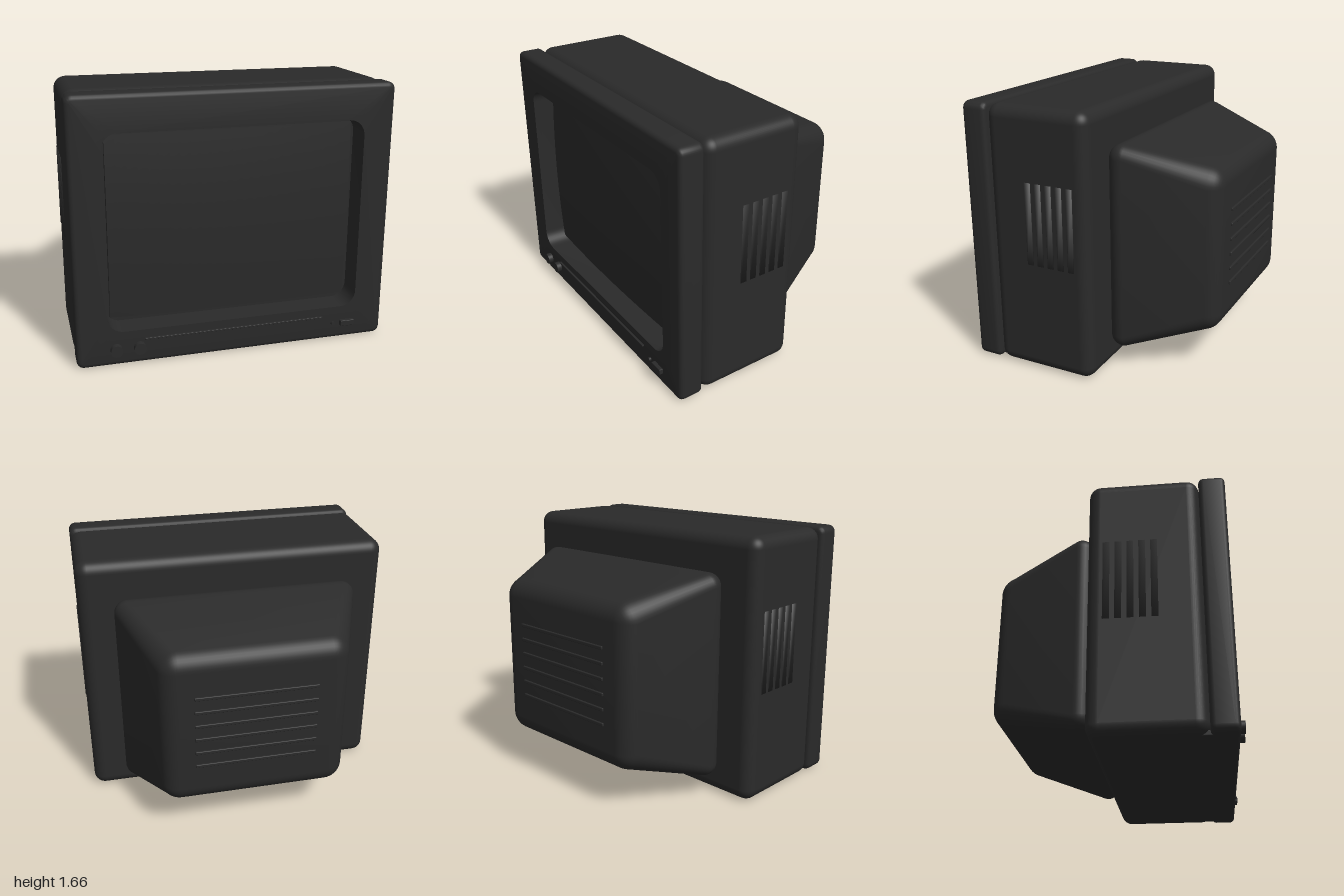
import * as THREE from 'three';
import { toCreasedNormals } from 'three/addons/utils/BufferGeometryUtils.js';
import { RoundedBoxGeometry } from 'three/addons/geometries/RoundedBoxGeometry.js';

const HALF_W = 0.995, HALF_H = 0.8325;

// points of a rounded rectangle, counter-clockwise seen from the front
function roundedRect(halfW, halfH, r, z, steps = 8) {
  const points = [];
  [[1, 1], [-1, 1], [-1, -1], [1, -1]].forEach(([sx, sy], corner) => {
    for (let i = 0; i <= steps; i++) {
      const a = (corner + i / steps) * Math.PI / 2;
      points.push([sx * (halfW - r) + r * Math.cos(a), sy * (halfH - r) + r * Math.sin(a), z]);
    }
  });
  return points;
}

// skin over rings; a closed loft joins the last ring to the first, an open one gets end caps
function loft(rings, closed) {
  const n = rings[0].length, count = rings.length, index = [];
  const points = rings.flat();
  for (let k = 0; k < (closed ? count : count - 1); k++) {
    const a = k * n, b = ((k + 1) % count) * n;
    for (let i = 0; i < n; i++) {
      const j = (i + 1) % n;
      index.push(a + i, a + j, b + j, a + i, b + j, b + i);
    }
  }
  if (!closed) {
    const last = (count - 1) * n, c = points.length;
    points.push([0, 0, rings[0][0][2]], [0, 0, rings[count - 1][0][2]]);
    for (let i = 0; i < n; i++) {
      const j = (i + 1) % n;
      index.push(c, j, i, c + 1, last + i, last + j);
    }
  }
  const geo = new THREE.BufferGeometry();
  geo.setAttribute('position', new THREE.Float32BufferAttribute(points.flat(), 3));
  geo.setIndex(index);
  return toCreasedNormals(geo, 0.7);
}

// frame: outer contours from back to front, then the opening
function frameGeometry() {
  const back = 0.566, front = 0.727, bevel = 0.03, rings = [];
  for (let i = 0; i < 10; i++) {
    const a = (i < 5 ? i : i - 1) / 8 * Math.PI;
    const inset = bevel * (1 - Math.sin(a));
    const z = i < 5 ? back + bevel * (1 - Math.cos(a)) : front - bevel * (1 + Math.cos(a));
    rings.push(roundedRect(HALF_W - inset, HALF_H - inset, 0.045 - inset, z));
  }
  rings.push(roundedRect(0.803, 0.612, 0.1, front), roundedRect(0.803, 0.612, 0.1, back));
  return loft(rings, true);
}

// housing narrowing toward the back, with rounded edges
function tubeHousingGeometry() {
  const tilt = 0.315, rings = [];
  const ends = [
    { w: 0.477, h: 0.41, z: -0.632, r: 0.12, from: -Math.PI / 2, to: -tilt },
    { w: 0.697, h: 0.572, z: -0.186, r: 0.08, from: -tilt, to: Math.PI / 2 },
  ];
  for (const { w, h, z, r, from, to } of ends) {
    for (let i = 0; i <= 8; i++) {
      const a = from + (to - from) * i / 8, out = r * Math.cos(a);
      rings.push(roundedRect(w + out, h + out, out + 0.005, z + r * Math.sin(a)));
    }
  }
  return loft(rings, false);
}

// gently bulging glass
function screenGeometry(w, h) {
  const geo = new THREE.BoxGeometry(w, h, 0.02, 24, 20, 1);
  const p = geo.attributes.position;
  for (let i = 0; i < p.count; i++) {
    if (p.getZ(i) < 0) continue;
    const u = 2 * p.getX(i) / w, v = 2 * p.getY(i) / h;
    p.setZ(i, p.getZ(i) + 0.02 * (2 - u * u - v * v));
  }
  return toCreasedNormals(geo, 0.6);
}

// box shaded softly across its corners
function softBox(w, h, d) {
  const geo = new THREE.BoxGeometry(w, h, d);
  const p = geo.attributes.position, k = Math.sqrt(1 / 3);
  for (let i = 0; i < p.count; i++) {
    geo.attributes.normal.setXYZ(i, k * Math.sign(p.getX(i)), k * Math.sign(p.getY(i)), k * Math.sign(p.getZ(i)));
  }
  return geo;
}

export function createModel() {
  const model = new THREE.Group();
  model.name = 'monitor';
  const casing = new THREE.MeshStandardMaterial({ color: 0x2a2a2a });
  casing.name = 'charcoal plastic';

  const add = (name, geo, x, y, z) => {
    const mesh = new THREE.Mesh(geo, casing);
    mesh.name = name;
    mesh.position.set(x, y, z);
    model.add(mesh);
    return mesh;
  };
  const box = (w, h, d, r) => new RoundedBoxGeometry(w, h, d, 3, r);
  const disc = (r, depth) => new THREE.CylinderGeometry(r, r, depth, 32).rotateX(Math.PI / 2);

  // main casing
  add('frontBezel', frameGeometry(), 0, HALF_H, 0);
  add('screen', screenGeometry(1.54, 1.15), 0, HALF_H, 0.583);
  add('body', new RoundedBoxGeometry(2 * HALF_W, 2 * HALF_H, 0.675, 6, 0.075), 0, HALF_H, 0.2285);
  add('bottomJoint', box(1.86, 0.034, 0.12, 0.008), 0, 0.019, 0.545);
  add('tubeHousing', tubeHousingGeometry(), 0, 0.788, 0);

  // side vent ribs
  for (const side of [-1, 1]) {
    for (let i = 0; i < 5; i++) {
      add('sideVentRib', softBox(0.03, 0.515, 0.04), side * 0.985, 0.963, 0.005 + i * 0.0705);
    }
  }

  // rear vent ribs
  for (let i = 0; i < 6; i++) {
    add('rearVentRib', box(0.77, 0.022, 0.03, 0.005), 0, 0.547 + i * 0.096, -0.748);
  }

  // front controls
  for (const x of [-0.755, -0.611]) add('knob', disc(0.037, 0.06), x, 0.108, 0.731);
  add('trimStrip', box(1.16, 0.011, 0.03, 0.002), 0, 0.161, 0.725);
  add('indicator', disc(0.012, 0.04), 0.655, 0.108, 0.722);
  add('powerButton', box(0.094, 0.038, 0.05, 0.004), 0.75, 0.108, 0.726);

  return model;
}
